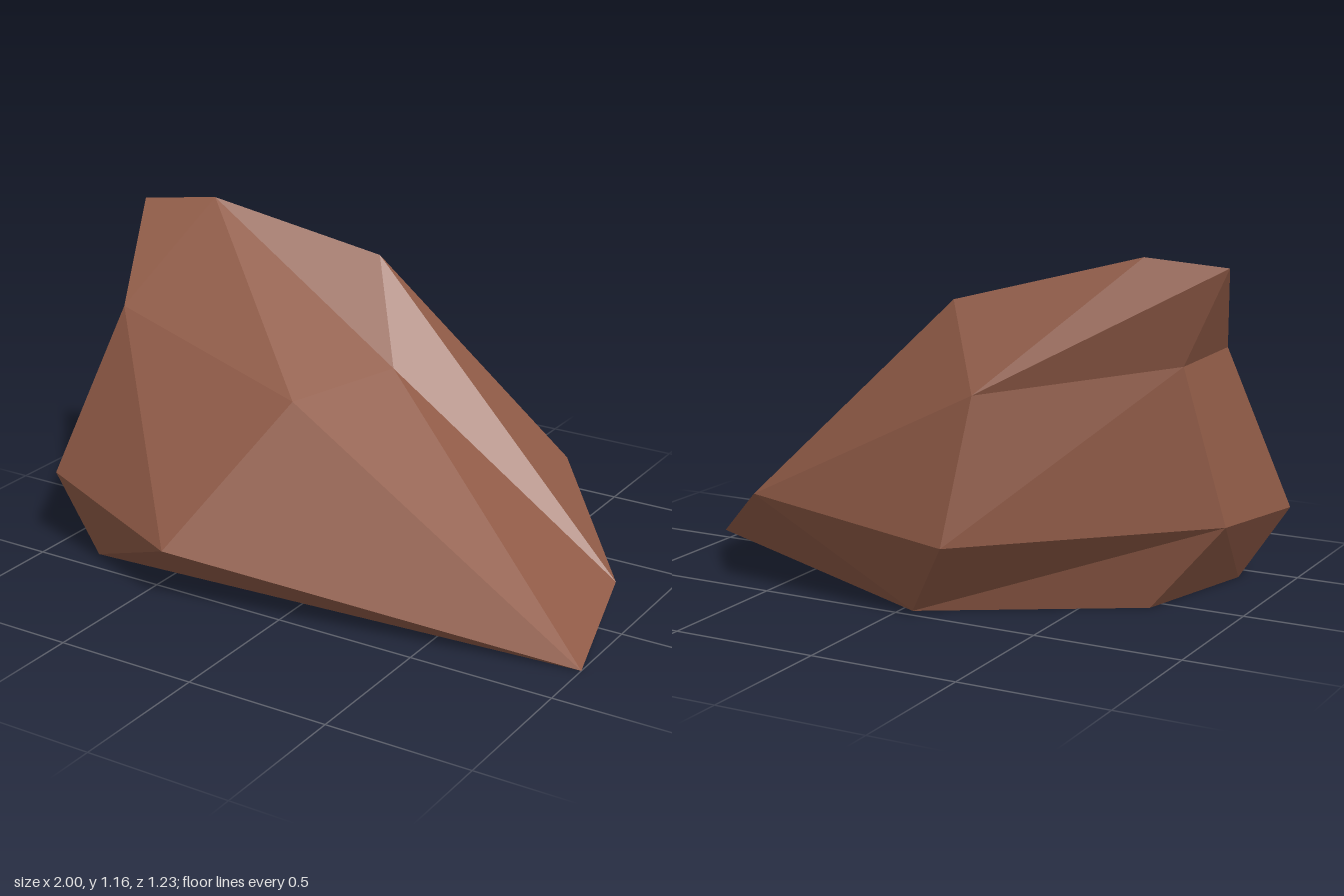
import * as THREE from 'three';

// Corners of the boulder, grouped by region
const corners = {
  // crest and left shoulder
  tip: [-0.98, 1.14, -0.14], peak: [-0.72, 1.165, -0.2], hump: [-0.13, 1.01, -0.345], shoulder: [-0.86, 0.84, 0.16],
  // front
  side: [-1, 0.27, 0.405], baseA: [-0.82, 0, 0.41], belly: [-0.39, 0.195, 0.61], toe: [1, 0, 0.295],
  notch: [0.05, 0.69, -0.14], ridge: [-0.11, 0.66, 0.24],
  // back
  heel: [0.89, 0.085, -0.18], flank: [0.53, 0.335, -0.52], backHigh: [-0.29, 0.745, -0.52],
  backLow: [-0.23, 0.27, -0.615], baseB: [-0.04, 0, -0.46],
  // undercut end
  baseC: [-0.7, 0, -0.06], hollowLow: [-0.94, 0.29, -0.02], hollowHigh: [-0.83, 0.82, -0.13],
};

// Facets as corner names, counter-clockwise from outside
const facets = [
  // front
  'tip shoulder peak', 'peak shoulder ridge', 'shoulder belly ridge',
  'shoulder side belly', 'side baseA belly', 'baseA toe belly',
  'belly toe ridge', 'ridge toe notch', 'peak ridge notch',
  // crest
  'peak notch hump', 'notch heel hump', 'notch toe heel', 'peak hump backHigh', 'tip peak backHigh',
  // back
  'toe baseB heel', 'hump heel flank', 'heel baseB flank',
  'flank baseB backLow', 'hump flank backHigh', 'backHigh flank backLow',
  // undercut end
  'tip backHigh hollowHigh', 'tip hollowHigh shoulder', 'backHigh backLow hollowHigh',
  'backLow hollowLow hollowHigh', 'hollowHigh hollowLow shoulder', 'shoulder hollowLow side',
  'side hollowLow baseA', 'backLow baseB hollowLow', 'baseB baseC hollowLow', 'baseA hollowLow baseC',
  // base
  'baseA baseC toe', 'baseC baseB toe',
];

export function createModel() {
  const stone = new THREE.MeshStandardMaterial({ color: 0x8f5a46, flatShading: true });
  stone.name = 'reddish brown stone';

  const positions = facets.flatMap((facet) => facet.split(' ').flatMap((name) => corners[name]));
  const geometry = new THREE.BufferGeometry();
  geometry.setAttribute('position', new THREE.Float32BufferAttribute(positions, 3));
  geometry.computeVertexNormals();

  const boulder = new THREE.Mesh(geometry, stone);
  boulder.name = 'boulder';
  const group = new THREE.Group();
  group.name = 'rock';
  group.add(boulder);
  return group;
}
